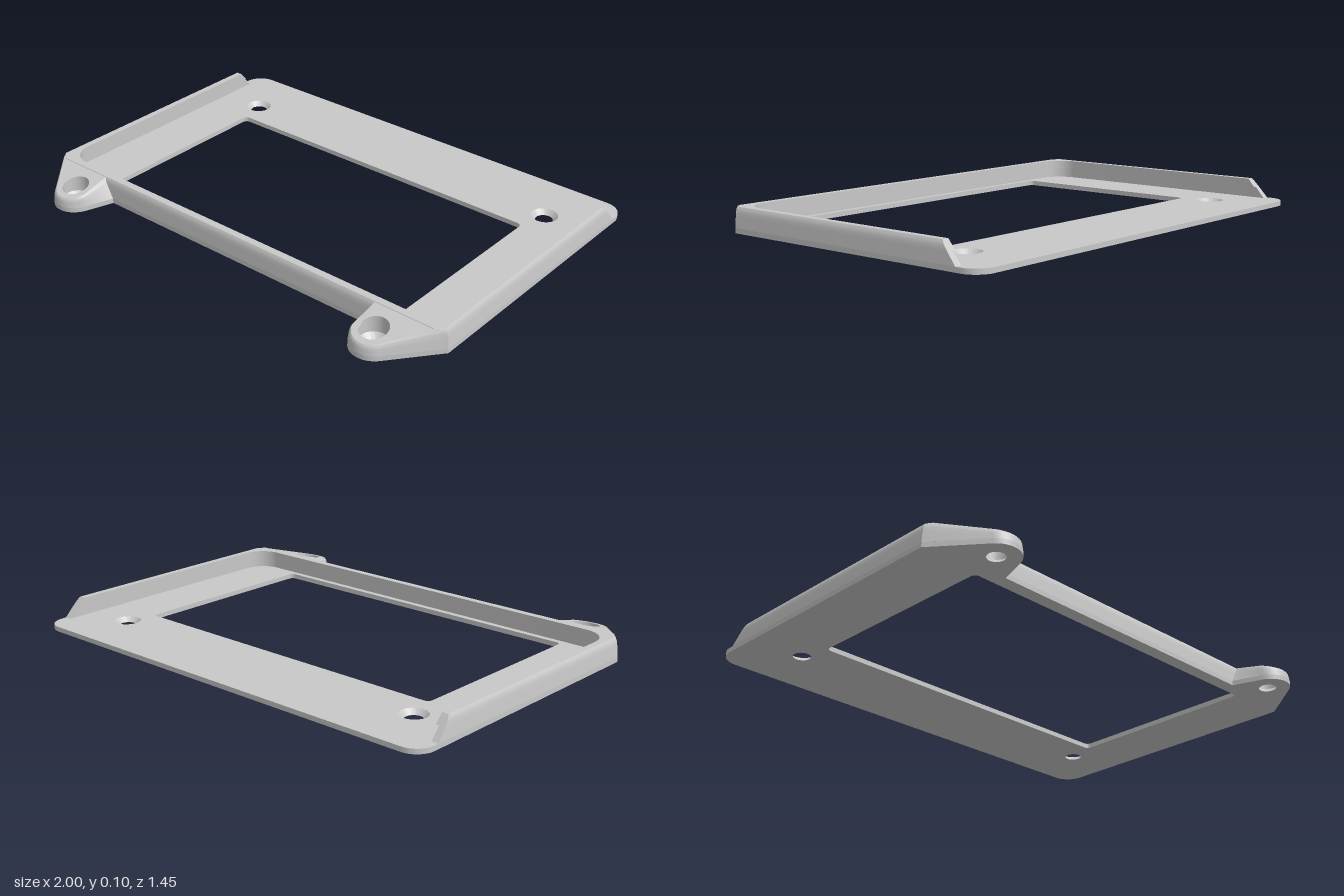
import * as THREE from 'three';
import { toCreasedNormals } from 'three/addons/utils/BufferGeometryUtils.js';

const PLATE = 0.02, TOP = 0.1;
const EAR = { x: 0.775, z: 0.63, r: 0.092 };
const REAR_HOLE_Z = -0.48;

// Arc in plan coordinates [x, z], angles in degrees
function arc(cx, cz, r, a0, a1, n = 8) {
  const pts = [];
  for (let i = 0; i <= n; i++) {
    const a = THREE.MathUtils.degToRad(a0 + (a1 - a0) * i / n);
    pts.push([cx + r * Math.cos(a), cz + r * Math.sin(a)]);
  }
  return pts;
}

const circle = (cx, cz, r) => arc(cx, cz, r, 0, 360, 32).slice(0, -1);
const mirrored = (half) => [...half, ...half.map(([x, z]) => [-x, z]).reverse()];

// Plan points as counter-clockwise vectors, so walls and holes face the right way
function toVectors(pts) {
  const list = pts.map(([x, z]) => new THREE.Vector2(x, -z));
  return THREE.ShapeUtils.isClockWise(list) ? list.reverse() : list;
}

// Fraction of the wall height, and the inward draft there with a rounded top edge
const heightOf = (y) => (y - PLATE) / (TOP - PLATE);
const draft = (t) => 0.5 * t + 0.5 * t ** 8;

// Extrude a plan outline from y0 to y1, then move each vertex by a rule
function slab(outline, holes, y0, y1, steps, rule) {
  const shape = new THREE.Shape(toVectors(outline));
  for (const h of holes) shape.holes.push(new THREE.Path(toVectors(h)));
  const geo = new THREE.ExtrudeGeometry(shape, { depth: y1 - y0, steps, bevelEnabled: false });
  geo.rotateX(-Math.PI / 2).translate(0, y0, 0);
  const pos = geo.attributes.position;
  const v = new THREE.Vector3();
  for (let i = 0; i < pos.count; i++) {
    v.fromBufferAttribute(pos, i);
    rule(v);
    pos.setXYZ(i, v.x, v.y, v.z);
  }
  return toCreasedNormals(geo, 0.5);
}

export function createModel() {
  const group = new THREE.Group();
  const grey = new THREE.MeshStandardMaterial({ color: 0xc8c8c8 });
  grey.name = 'grey plastic';
  const add = (name, geo) => {
    const mesh = new THREE.Mesh(geo, grey);
    mesh.name = name;
    group.add(mesh);
  };

  // Base plate with window and four countersunk screw holes
  const earArc = arc(EAR.x, EAR.z, EAR.r, 39.2, 162.5, 20);
  const plateOutline = mirrored([
    ...arc(0.92, -0.65, 0.08, -90, 0), [1, 0.5], ...earArc, [0.65, 0.545],
  ]);
  const opening = mirrored([
    ...arc(0.725, -0.34, 0.02, -90, 0, 4), ...arc(0.725, 0.47, 0.02, 0, 90, 4),
  ]);
  const centres = [];
  for (const s of [1, -1]) for (const z of [REAR_HOLE_Z, EAR.z]) centres.push([s * EAR.x, z]);
  const holes = centres.map(([x, z]) => circle(x, z, 0.055));
  add('basePlate', slab(plateOutline, [opening, ...holes], 0, PLATE, 1, (v) => {
    if (v.y > PLATE / 2) return;
    for (const [cx, cz] of centres) {
      if (Math.hypot(v.x - cx, v.z - cz) > 0.06) continue;
      v.x = cx + (v.x - cx) * 0.64;
      v.z = cz + (v.z - cz) * 0.64;
    }
  }));

  // U-shaped rim with drafted outside and sloping rear ends
  const rim = (name, xi, zi, y0, y1) => {
    const outline = mirrored([
      ...arc(xi - 0.1, zi - 0.1, 0.1, 90, 0, 10),
      [xi, -0.63], [1, -0.63], [1, 0.5], [0.962, 0.545],
    ]);
    add(name, slab(outline, [], y0, y1, 4, (v) => {
      const t = heightOf(v.y);
      if (Math.abs(v.x) > 0.98) v.x -= Math.sign(v.x) * 0.016 * draft(t);
      if (v.z > 0.53) {
        v.x *= 1 - 0.006 * draft(t);
        v.z -= 0.015 * draft(t);
      }
      if (v.z < -0.6) v.z += 0.07 * t;
    }));
  };
  rim('rimWall', 0.97, 0.515, PLATE, 0.065);
  rim('rimLip', 0.957, 0.5, 0.065, TOP);

  // Sloping mounting ears with rounded edges and screw recesses
  for (const s of [1, -1]) {
    const outline = [[0.984, 0.52], ...earArc, [0.65, 0.545], [0.65, 0.52]];
    const place = (pts) => pts.map(([x, z]) => [s * x, z]);
    const recess = place(circle(EAR.x, EAR.z, 0.055));
    add(s > 0 ? 'leftEar' : 'rightEar', slab(place(outline), [recess], PLATE, TOP, 8, (v) => {
      const t = heightOf(v.y), f = draft(t);
      let x = v.x * s;
      const dx = x - EAR.x, dz = v.z - EAR.z;
      if (x < 0.66) {
        x += 0.05 * t;
        if (v.z > 0.53) v.z -= 0.01 * f;
      } else if (x > 0.95) {
        x -= 0.014 * f;
      } else if (Math.hypot(dx, dz) > 0.08) {
        x -= dx * 0.13 * f;
        v.z -= dz * 0.13 * f;
      }
      v.x = x * s;
      v.y = PLATE + t * (TOP - PLATE - (v.z - 0.52) * 0.23);
    }));
  }

  group.position.z = 0.004;
  return group;
}
